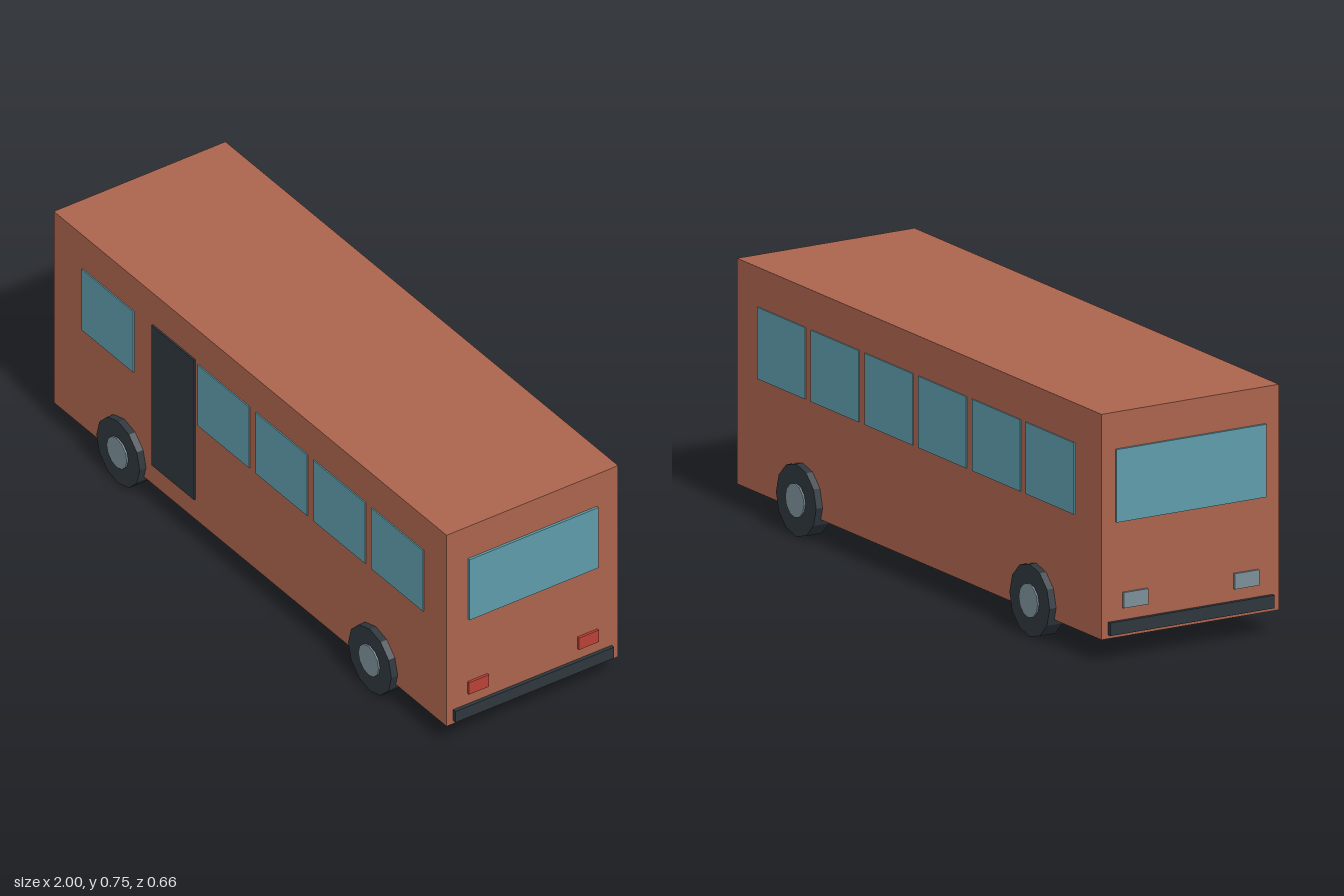
import * as THREE from 'three';

const material = (name, color) => {
  const m = new THREE.MeshStandardMaterial({ color, flatShading: true });
  m.name = name;
  return m;
};

export function createModel() {
  const bus = new THREE.Group();
  bus.name = 'bus';

  const paint = material('terracotta paint', 0xab634d);
  const glass = material('blue glass', 0x5d9ba9);
  const dark = material('dark rubber', 0x2d363d);
  const metal = material('grey metal', 0x7b8e98);
  const red = material('red lamp', 0xb94136);

  const HALF_LENGTH = 0.988, HALF_WIDTH = 0.303;

  // Box given by its limits on each axis
  function box(name, mat, [x0, x1], [y0, y1], [z0, z1]) {
    const mesh = new THREE.Mesh(new THREE.BoxGeometry(x1 - x0, y1 - y0, z1 - z0), mat);
    mesh.position.set((x0 + x1) / 2, (y0 + y1) / 2, (z0 + z1) / 2);
    mesh.name = name;
    bus.add(mesh);
  }

  // Thin plate on a long side (side = 1 or -1 along z)
  function sidePlate(name, mat, side, x, y, depth) {
    const z = [side * HALF_WIDTH, side * (HALF_WIDTH + depth)].sort((a, b) => a - b);
    box(name, mat, x, y, z);
  }

  // Plate on a short end (end = 1 or -1 along x)
  function endPlate(name, mat, end, z, y, depth) {
    const x = [end * HALF_LENGTH, end * (HALF_LENGTH + depth)].sort((a, b) => a - b);
    box(name, mat, x, y, z);
  }

  // Body shell
  box('body', paint, [-HALF_LENGTH, HALF_LENGTH], [0.071, 0.748], [-HALF_WIDTH, HALF_WIDTH]);

  // Side windows, with the door taking the second bay on the +z side
  for (const side of [1, -1]) {
    for (let i = 0; i < 6; i++) {
      if (side === 1 && i === 1) continue;
      const x = -0.713 + i * 0.2915;
      sidePlate('sideWindow', glass, side, [x - 0.13, x + 0.13], [0.414, 0.629], 0.004);
    }
  }
  sidePlate('door', dark, 1, [-0.489, -0.275], [0.142, 0.637], 0.006);

  // Windscreen, rear window and bumpers
  endPlate('windscreen', glass, -1, [-0.256, 0.256], [0.418, 0.637], 0.008);
  endPlate('rearWindow', glass, 1, [-0.227, 0.227], [0.421, 0.635], 0.008);
  for (const end of [1, -1]) {
    endPlate('bumper', dark, end, [-0.28, 0.28], [0.082, 0.121], 0.012);
  }

  // Headlights and tail lights
  for (const side of [1, -1]) {
    const h = side * 0.19, t = side * 0.194;
    endPlate('headlight', metal, -1, [h - 0.042, h + 0.042], [0.157, 0.204], 0.008);
    endPlate('tailLight', red, 1, [t - 0.035, t + 0.035], [0.158, 0.2], 0.008);
  }

  // Wheels: twelve-sided tyre and hub
  const tyreShape = new THREE.CylinderGeometry(0.109, 0.109, 0.054, 12).rotateX(Math.PI / 2);
  const hubShape = new THREE.CylinderGeometry(0.051, 0.051, 0.06, 12).rotateX(Math.PI / 2);
  for (const x of [-0.633, 0.633]) {
    for (const side of [1, -1]) {
      const wheel = new THREE.Group();
      wheel.name = 'wheel';
      const tyre = new THREE.Mesh(tyreShape, dark);
      tyre.name = 'tyre';
      const hub = new THREE.Mesh(hubShape, metal);
      hub.name = 'hub';
      hub.position.z = side * 0.002;
      wheel.add(tyre, hub);
      wheel.position.set(x, 0.109, side * 0.298);
      bus.add(wheel);
    }
  }

  return bus;
}
